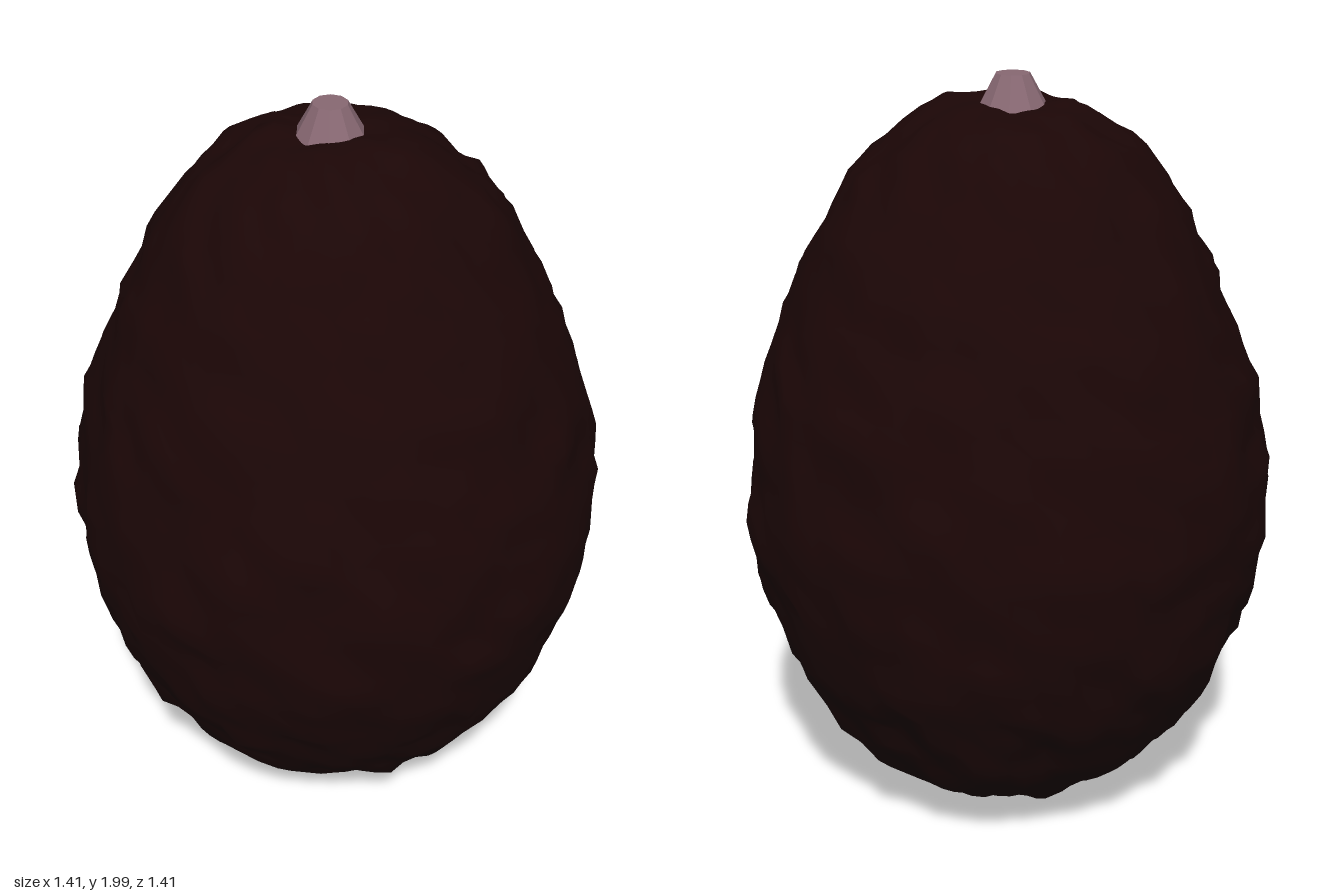
import * as THREE from 'three';
import { mergeVertices } from 'three/addons/utils/BufferGeometryUtils.js';

// Seeded lattice hash and smooth 3D value noise in the range -1..1
function hash(x, y, z) {
  let h = Math.imul(x, 374761393) ^ Math.imul(y, 668265263) ^ Math.imul(z, 1274126177);
  h = Math.imul(h ^ (h >>> 13), 1103515245);
  return ((h ^ (h >>> 16)) >>> 0) / 2147483648 - 1;
}

function noise(x, y, z) {
  const cell = [x, y, z].map(Math.floor);
  const f = [x - cell[0], y - cell[1], z - cell[2]].map((t) => t * t * (3 - 2 * t));
  let sum = 0;
  for (let i = 0; i < 8; i++) {
    const c = [i & 1, (i >> 1) & 1, i >> 2];
    const w = c.reduce((a, bit, k) => a * (bit ? f[k] : 1 - f[k]), 1);
    sum += w * hash(cell[0] + c[0], cell[1] + c[1], cell[2] + c[2]);
  }
  return sum;
}

// Egg-shaped skin, turned from a profile and roughened with small bumps
function makeSkin(material) {
  const profile = [
    [0, 0.025], [0.2, 0.04], [0.34, 0.11], [0.45, 0.2], [0.555, 0.35], [0.65, 0.56],
    [0.695, 0.8], [0.685, 1.0], [0.65, 1.2], [0.58, 1.4], [0.485, 1.6], [0.39, 1.75],
    [0.3, 1.84], [0.2, 1.905], [0.1, 1.925], [0, 1.92],
  ].map(([r, y]) => new THREE.Vector2(r, y));
  const points = new THREE.SplineCurve(profile).getSpacedPoints(52);
  points[0].x = points[52].x = 0;

  let geometry = new THREE.LatheGeometry(points, 72);
  geometry.deleteAttribute('uv');
  geometry.deleteAttribute('normal');
  geometry = mergeVertices(geometry, 1e-4);

  const centre = new THREE.Vector3(0, 0.93, 0);
  const position = geometry.attributes.position;
  const p = new THREE.Vector3();
  for (let i = 0; i < position.count; i++) {
    p.fromBufferAttribute(position, i);
    const bump = 0.016 * noise(p.x * 10 + 3, p.y * 10, p.z * 10) + 0.016 * noise(p.x * 16, p.y * 16 + 5, p.z * 16);
    p.addScaledVector(p.clone().sub(centre).normalize(), bump);
    position.setXYZ(i, p.x, Math.max(p.y, 0), p.z);
  }
  geometry.computeVertexNormals();

  const skin = new THREE.Mesh(geometry, material);
  skin.name = 'skin';
  return skin;
}

// Short flared, faceted stem stub, sunk into the top of the skin
function makeStem(material) {
  const geometry = new THREE.CylinderGeometry(0.045, 0.105, 0.11, 10).toNonIndexed();
  geometry.computeVertexNormals();
  const stem = new THREE.Mesh(geometry, material);
  stem.position.set(-0.01, 1.945, -0.01);
  stem.name = 'stem';
  return stem;
}

export function createModel() {
  const skinMaterial = new THREE.MeshStandardMaterial({ color: 0x1b0606 });
  skinMaterial.name = 'dark brown skin';
  const stemMaterial = new THREE.MeshStandardMaterial({ color: 0x876872 });
  stemMaterial.name = 'dusty mauve stem';

  const model = new THREE.Group();
  model.name = 'fruit';
  model.add(makeSkin(skinMaterial), makeStem(stemMaterial));
  return model;
}
